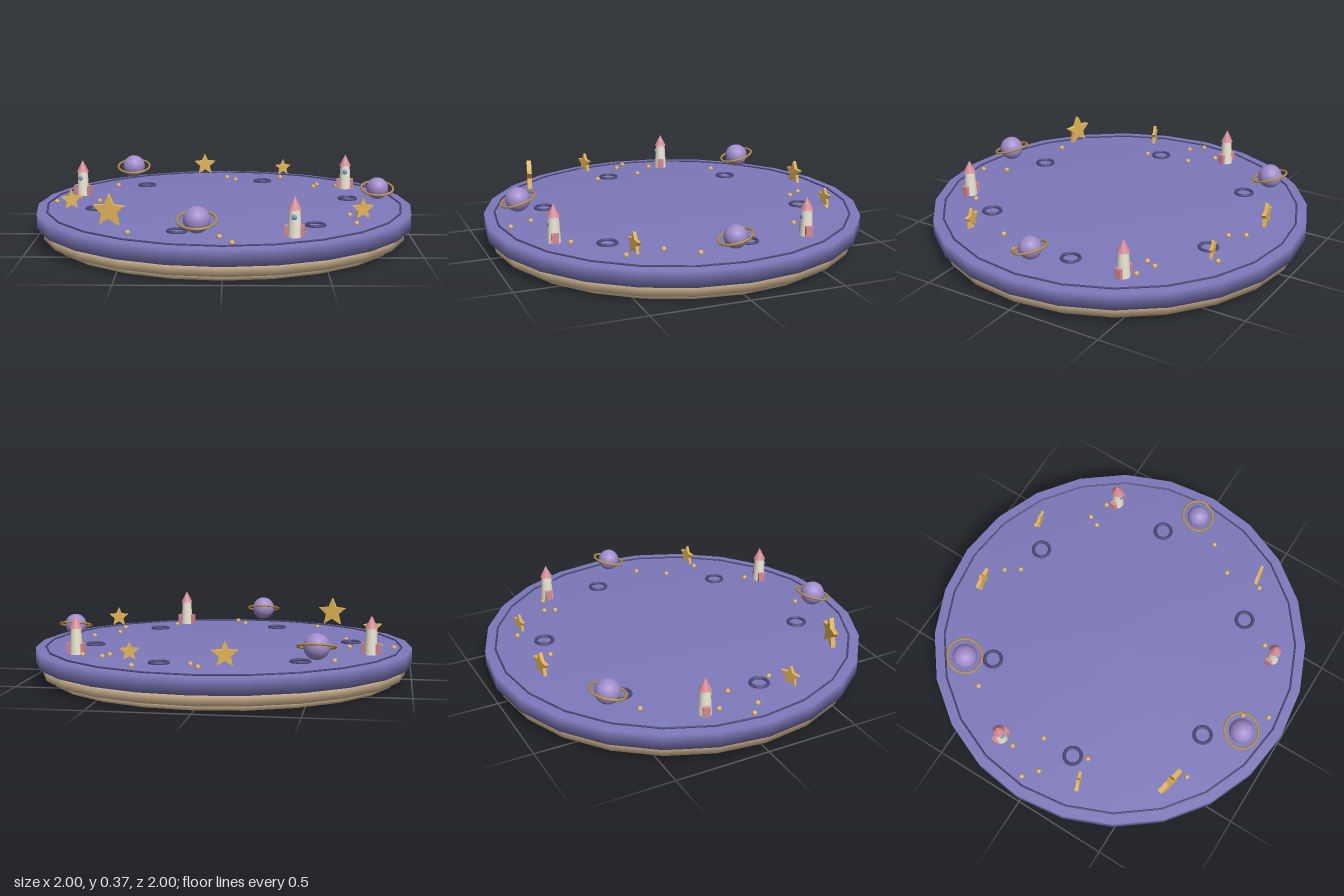
import * as THREE from 'three';

const mat = (color, extra = {}) => new THREE.MeshStandardMaterial({ color, ...extra });
const M = {
  deck: mat(0x7d79bb), wood: mat(0xdcc09a), dark: mat(0x4b4876),
  planet: mat(0xa08ccb), ring: mat(0xb48f45), gold: mat(0xe3b558),
  cream: mat(0xeee6d4), pink: mat(0xd58a96), glass: mat(0x6fa3c4),
};
const DECK_Y = 0.168;

function add(parent, name, geometry, material, x = 0, y = 0, z = 0) {
  const mesh = new THREE.Mesh(geometry, material);
  mesh.name = name;
  mesh.position.set(x, y, z);
  parent.add(mesh);
  return mesh;
}

// Solid 24-sided disc, softly shaded over its edges
function disc(r, y0, y1) {
  const points = [[0, y0], [r, y0], [r, y1], [0, y1]].map(p => new THREE.Vector2(...p));
  return new THREE.LatheGeometry(points, 24);
}

// Torus lying flat
const flatRing = (r, tube, sides, segments) =>
  new THREE.TorusGeometry(r, tube, sides, segments).rotateX(Math.PI / 2);

function makePlanet(x, y, z, r, ringR) {
  const g = new THREE.Group();
  g.name = 'planet';
  g.position.set(x, y, z);
  add(g, 'planetBall', new THREE.SphereGeometry(r, 24, 16), M.planet);
  add(g, 'planetRing', flatRing(ringR, 0.006, 8, 32), M.ring).rotation.x = 0.28;
  return g;
}

function makeRocket(x, z, turn) {
  const g = new THREE.Group();
  g.name = 'rocket';
  g.position.set(x, DECK_Y, z);
  g.rotation.y = turn;
  add(g, 'rocketBody', new THREE.CylinderGeometry(0.026, 0.034, 0.135, 16), M.cream, 0, 0.0675);
  add(g, 'rocketNose', new THREE.ConeGeometry(0.033, 0.065, 16), M.pink, 0, 0.165);
  add(g, 'rocketWindow', new THREE.SphereGeometry(0.014, 12, 8).scale(1, 1, 0.5), M.glass, 0, 0.1, 0.028);
  for (const s of [-1, 1])
    add(g, 'rocketFin', new THREE.BoxGeometry(0.018, 0.052, 0.036), M.pink, s * 0.039, 0.03, 0);
  return g;
}

function makeStar(x, y, z, r, turn) {
  const shape = new THREE.Shape();
  for (let i = 0; i < 10; i++) {
    const a = Math.PI / 2 + i * Math.PI / 5, d = i % 2 ? r * 0.46 : r;
    shape[i ? 'lineTo' : 'moveTo'](Math.cos(a) * d, Math.sin(a) * d);
  }
  shape.closePath();
  const depth = r * 0.3;
  const geometry = new THREE.ExtrudeGeometry(shape, { depth, bevelEnabled: false });
  geometry.translate(0, 0, -depth / 2);
  const star = new THREE.Mesh(geometry, M.gold);
  star.name = 'star';
  star.position.set(x, y, z);
  star.rotation.y = turn;
  return star;
}

export function createModel() {
  const model = new THREE.Group();
  model.name = 'spaceDisplayBoard';

  // Stepped base and deck
  add(model, 'lowerBase', disc(0.92, 0, 0.03), M.wood);
  add(model, 'upperBase', disc(0.967, 0.03, 0.086), M.wood);
  add(model, 'deck', disc(1, 0.086, DECK_Y), M.deck);
  add(model, 'rimLine', flatRing(0.946, 0.005, 6, 24).rotateY(Math.PI / 2), M.dark, 0, DECK_Y + 0.003);

  // Planets: x, y, z, radius, ring radius
  for (const p of [[-0.54, 0.264, -0.625, 0.064, 0.092], [0.82, 0.256, 0, 0.058, 0.085],
    [-0.12, 0.264, 0.815, 0.064, 0.092]]) model.add(makePlanet(...p));

  // Rockets: x, z, turn
  for (const p of [[-0.79, -0.235, -0.32], [0.69, -0.445, -0.12], [0.34, 0.75, -0.15]])
    model.add(makeRocket(...p));

  // Standing stars: x, y, z, radius, turn
  for (const p of [[-0.125, 0.245, -0.8, 0.066, 0.15], [0.345, 0.238, -0.737, 0.049, 0.2],
    [-0.787, 0.24, 0.245, 0.056, 0.35], [-0.547, 0.268, 0.642, 0.083, -0.22],
    [0.692, 0.24, 0.46, 0.057, 0.15]]) model.add(makeStar(...p));

  // Crater rings
  const crater = flatRing(0.045, 0.009, 8, 24);
  for (const [x, z] of [[0.22, 0.65], [-0.455, 0.515], [-0.675, -0.135]].map(([a, b]) => [-a, b]))
    for (const s of [-1, 1]) add(model, 'crater', crater, M.dark, s * x, DECK_Y + 0.003, s * z);

  // Scattered gold dots
  const dot = new THREE.SphereGeometry(0.013, 10, 8);
  const dots = [[0.01, -0.755], [0.06, -0.68], [0.33, -0.76], [0.535, -0.525], [0.51, -0.47],
    [0.645, -0.49], [-0.62, -0.495], [-0.795, -0.16], [-0.905, -0.03], [-0.675, -0.045],
    [-0.835, 0.03], [-0.645, 0.21], [0.755, 0.15], [0.645, 0.295], [0.66, 0.49],
    [0.385, 0.68], [-0.015, 0.775], [0.045, 0.895], [-0.455, 0.695]];
  for (const [x, z] of dots) add(model, 'goldDot', dot, M.gold, x, DECK_Y + 0.005, z);

  return model;
}
